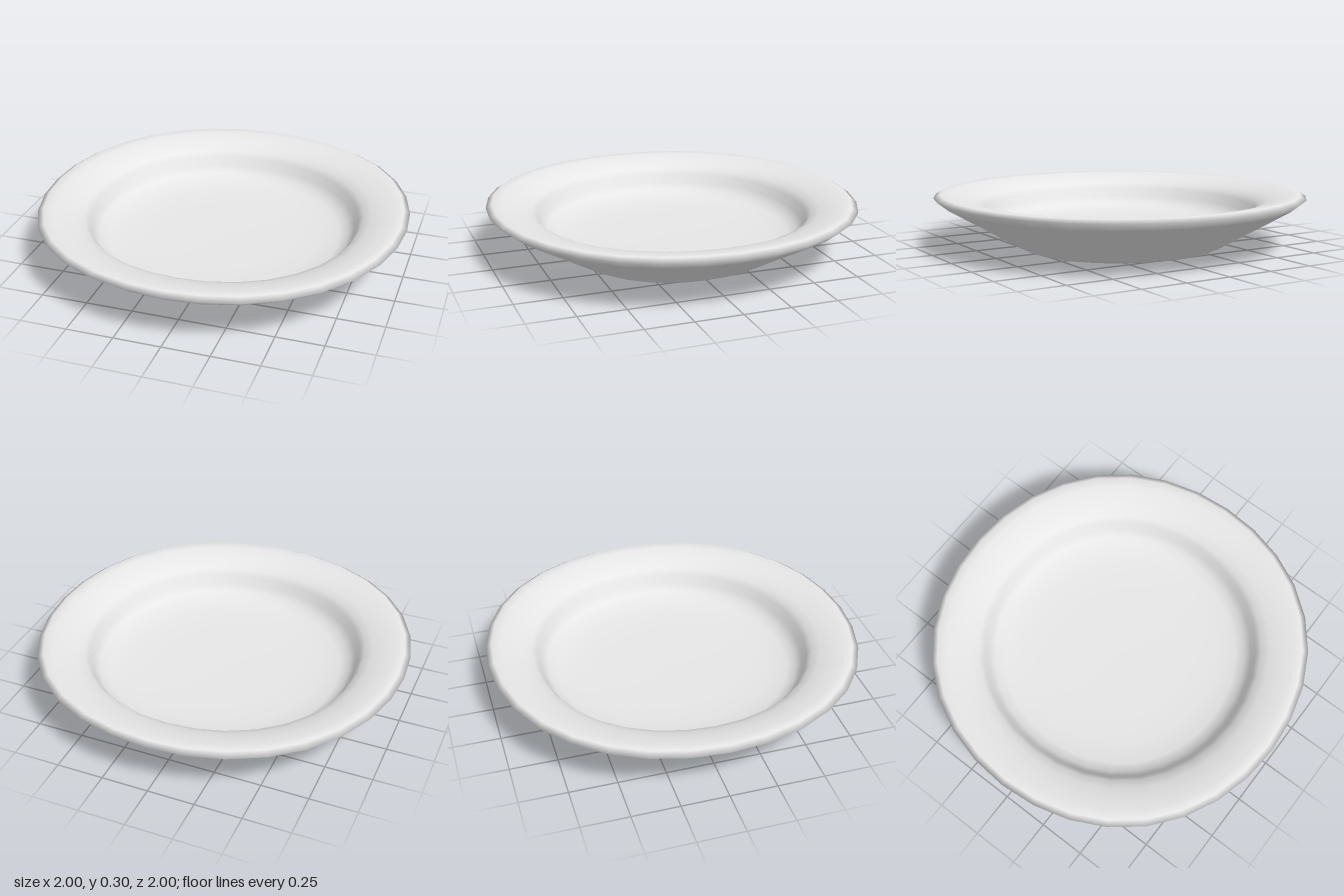
import * as THREE from 'three';

export function createModel() {
  const model = new THREE.Group();
  model.name = 'plate';

  const ceramic = new THREE.MeshStandardMaterial({ color: 0xe7e7e7 });
  ceramic.name = 'light ceramic';

  // Closed profile (radius, height): underside, outer wall, lip, rim, well
  const profile = [
    [0, 0.055], [0.45, 0.055], [0.48, 0.048], [0.49, 0.003], // recessed underside
    [0.505, 0], [0.535, 0.003], [0.58, 0.025], // foot ring
    [0.75, 0.125], [0.945, 0.237], // flared outer wall
    [1, 0.28], [0.968, 0.3], // bevelled lip
    [0.92, 0.297], [0.86, 0.286], [0.8, 0.268], [0.755, 0.247], // rounded rim
    [0.73, 0.217], [0.71, 0.172], [0.68, 0.134], [0.63, 0.112], // steep well wall
    [0.52, 0.098], [0.35, 0.092], [0, 0.09], // shallow floor
  ].map(([r, y]) => new THREE.Vector2(r, y));
  const geometry = new THREE.LatheGeometry(profile, 32);

  // The outline bulges slightly on the diagonals
  const pos = geometry.attributes.position;
  for (let i = 0; i < pos.count; i++) {
    const x = pos.getX(i), z = pos.getZ(i);
    const s = 1 + 0.017 * Math.sin(2 * Math.atan2(z, x)) ** 2;
    pos.setXYZ(i, x * s, pos.getY(i), z * s);
  }

  const dish = new THREE.Mesh(geometry, ceramic);
  dish.name = 'dish';
  model.add(dish);
  return model;
}
